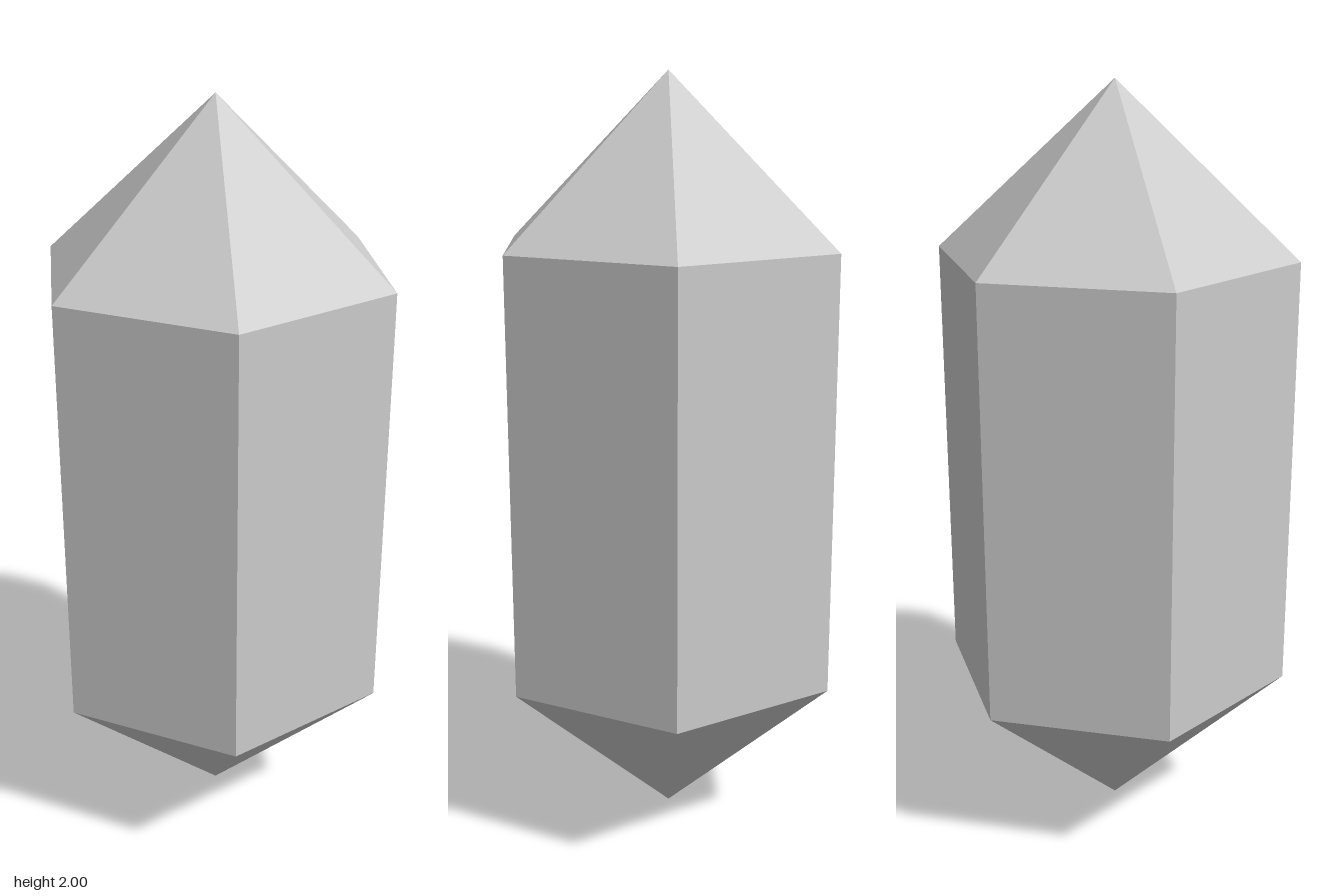
import * as THREE from 'three';

const RADIUS = 0.469;
const TIP = 0.43; // height of each pointed end
const BODY = 2 - 2 * TIP;
const TURN = Math.PI / 12; // twist of the hexagon about y

export function createModel() {
  const group = new THREE.Group();
  group.name = 'crystal';
  const material = new THREE.MeshStandardMaterial({ color: 0xcccccc, flatShading: true });

  // Open six-sided section, placed by its base height
  const section = (name, top, bottom, height, y) => {
    const geometry = new THREE.CylinderGeometry(top, bottom, height, 6, 1, true, TURN);
    const mesh = new THREE.Mesh(geometry, material);
    mesh.name = name;
    mesh.position.y = y + height / 2;
    group.add(mesh);
  };

  section('lowerPoint', RADIUS, 0, TIP, 0);
  section('prismBody', RADIUS, RADIUS, BODY, TIP);
  section('upperPoint', 0, RADIUS, TIP, TIP + BODY);

  return group;
}
